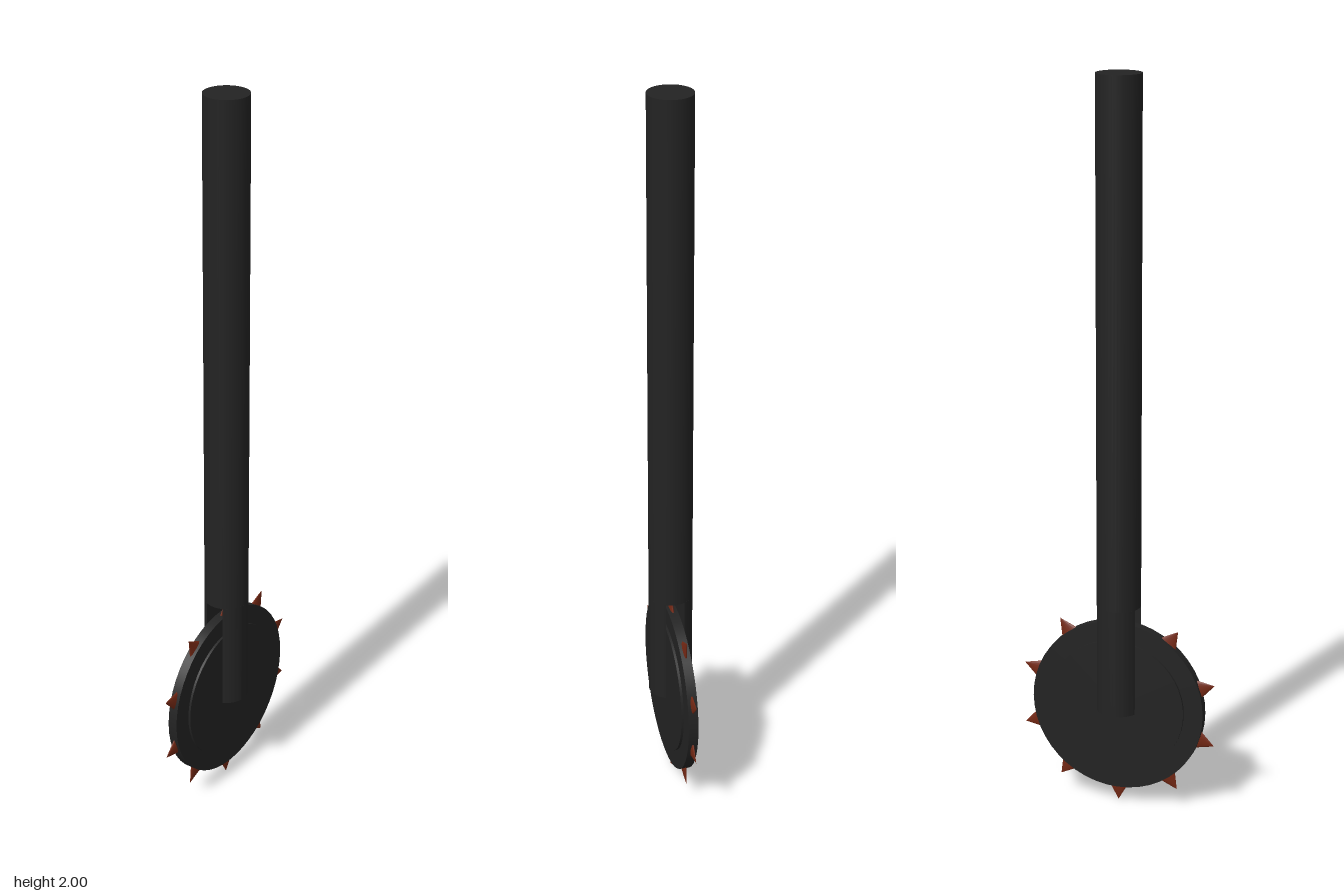
import * as THREE from 'three';
import { toCreasedNormals } from 'three/addons/utils/BufferGeometryUtils.js';

const RADIUS = 0.06;      // handle radius
const SLOT = 0.026;       // half width of the fork slot
const FORK_TOP = 0.575;
const FORK_BOTTOM = 0.272;
const HUB_Y = 0.287;      // wheel centre height
const WHEEL_Z = -0.002;
const SPIKES = 10;

export function createModel() {
  const group = new THREE.Group();
  const darkMetal = new THREE.MeshStandardMaterial({ name: 'darkMetal', color: 0x232323 });
  const rustRed = new THREE.MeshStandardMaterial({ name: 'rustRed', color: 0x742814 });

  const add = (parent, name, geometry, material) => {
    const mesh = new THREE.Mesh(geometry, material);
    mesh.name = name;
    parent.add(mesh);
    return mesh;
  };

  // Long round handle
  const length = 2 - FORK_TOP;
  add(group, 'handle', new THREE.CylinderGeometry(RADIUS, RADIUS, length, 40), darkMetal)
    .position.y = FORK_TOP + length / 2;

  // Two fork prongs, each a circular segment continuing the handle
  const half = Math.acos(SLOT / RADIUS);
  for (const [name, middle] of [['backProng', Math.PI / 2], ['frontProng', -Math.PI / 2]]) {
    const segment = new THREE.Shape();
    segment.absarc(0, 0, RADIUS, middle - half, middle + half, false);
    segment.closePath();
    const prong = new THREE.ExtrudeGeometry(segment, {
      depth: FORK_TOP - FORK_BOTTOM, bevelEnabled: false, curveSegments: 16,
    });
    prong.rotateX(-Math.PI / 2);
    add(group, name, toCreasedNormals(prong, 0.6), darkMetal).position.y = FORK_BOTTOM;
  }

  // Wheel: a broad thin disc with a thicker disc at its middle
  const wheel = new THREE.Group();
  wheel.name = 'wheel';
  wheel.position.set(0, HUB_Y, WHEEL_Z);
  group.add(wheel);
  const disc = (name, radius, thickness) =>
    add(wheel, name, new THREE.CylinderGeometry(radius, radius, thickness, 48).rotateX(Math.PI / 2), darkMetal);
  disc('outerDisc', 0.243, 0.027);
  disc('innerDisc', 0.19, 0.04);

  // Flattened cone spikes around the rim
  const spike = new THREE.ConeGeometry(0.028, 0.05, 16);
  spike.scale(1, 1, 0.22);
  spike.translate(0, 0.261, 0);
  for (let i = 0; i < SPIKES; i++) {
    add(wheel, 'spike', spike, rustRed).rotation.z = (i / SPIKES) * Math.PI * 2;
  }

  return group;
}
